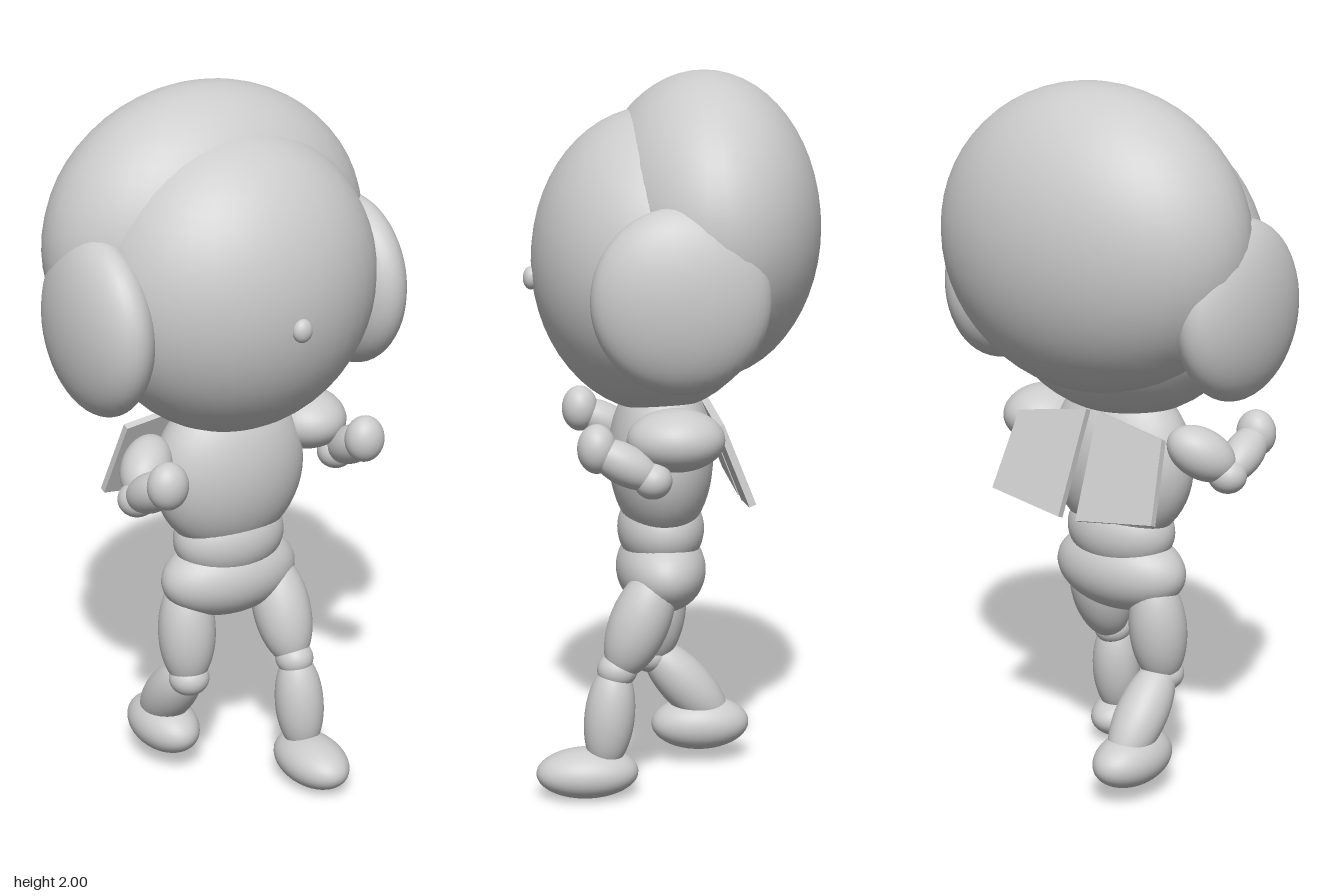
import * as THREE from 'three';

export function createModel() {
  const model = new THREE.Group();
  model.name = 'bigHeadedFigure';
  const grey = new THREE.MeshStandardMaterial({ color: 0xcccccc });
  grey.name = 'plain grey';
  const ball = new THREE.SphereGeometry(1, 40, 28);

  // Ellipsoid from centre and radii
  function blob(name, centre, radii, parent = model) {
    const mesh = new THREE.Mesh(ball, grey);
    mesh.name = name;
    mesh.position.set(...centre);
    mesh.scale.set(...radii);
    parent.add(mesh);
    return mesh;
  }

  // Ellipsoid stretched from tip to tip, for limb segments
  function limb(name, from, to, radius, parent) {
    const a = new THREE.Vector3(...from), b = new THREE.Vector3(...to);
    const dir = b.clone().sub(a);
    const mesh = blob(name, a.clone().add(b).multiplyScalar(0.5).toArray(), [radius, dir.length() / 2, radius], parent);
    mesh.quaternion.setFromUnitVectors(new THREE.Vector3(0, 1, 0), dir.normalize());
  }

  function group(name) {
    const g = new THREE.Group();
    g.name = name;
    model.add(g);
    return g;
  }

  // Head
  blob('face', [0, 1.487, 0.045], [0.413, 0.417, 0.34]);
  blob('hair', [0, 1.58, -0.09], [0.475, 0.42, 0.315]);
  blob('nose', [0, 1.44, 0.385], [0.028, 0.032, 0.022]);

  // Body
  blob('chest', [0, 0.94, 0.03], [0.23, 0.24, 0.145]);
  blob('waist', [0, 0.735, 0.03], [0.168, 0.12, 0.121]);
  blob('hips', [0, 0.62, 0.03], [0.21, 0.12, 0.125]);

  // Ears, hands, forearms and elbows are mirrored
  for (const [side, s] of [['left', 1], ['right', -1]]) {
    blob(side + 'Ear', [s * 0.4, 1.42, 0.018], [0.11, 0.244, 0.236]);
    const arm = group(side + 'Arm');
    if (s > 0) blob('shoulder', [0.26, 1.03, 0.016], [0.115, 0.085, 0.132], arm);
    else limb('upperArm', [-0.205, 1.05, -0.02], [-0.335, 0.945, 0.1], 0.07, arm);
    blob('elbow', [s * 0.325, 0.935, 0.085], [0.055, 0.05, 0.052], arm);
    limb('forearm', [s * 0.33, 0.93, 0.07], [s * 0.32, 1.03, 0.25], 0.055, arm);
    blob('hand', [s * 0.317, 1.022, 0.232], [0.057, 0.066, 0.052], arm);
  }

  // Legs in mid stride
  const left = group('leftLeg');
  limb('thigh', [0.13, 0.65, 0.04], [0.137, 0.345, 0.165], 0.083, left);
  blob('knee', [0.137, 0.365, 0.165], [0.054, 0.05, 0.056], left);
  limb('shin', [0.137, 0.385, 0.17], [0.145, 0.08, 0.205], 0.07, left);
  blob('foot', [0.143, 0.074, 0.25], [0.09, 0.07, 0.142], left);

  const right = group('rightLeg');
  limb('thigh', [-0.13, 0.63, 0.01], [-0.142, 0.3, 0.04], 0.082, right);
  blob('knee', [-0.142, 0.325, 0.045], [0.058, 0.05, 0.058], right);
  limb('shin', [-0.142, 0.36, 0.055], [-0.143, 0.11, -0.17], 0.073, right);
  blob('foot', [-0.143, 0.117, -0.1], [0.09, 0.077, 0.142], right);

  // Two thin plates hanging from the upper back
  for (const [side, s] of [['left', 1], ['right', -1]]) {
    const shape = new THREE.Shape([
      [0.02, 0], [0.25, -0.04], [0.28, -0.27], [0.03, -0.305],
    ].map(([x, y]) => new THREE.Vector2(s * x, y)));
    const plate = new THREE.Mesh(new THREE.ExtrudeGeometry(shape, { depth: 0.02, bevelEnabled: false }), grey);
    plate.name = side + 'BackPlate';
    plate.position.set(0, 1.105, -0.1);
    plate.rotation.x = 0.375;
    model.add(plate);
  }
  return model;
}
